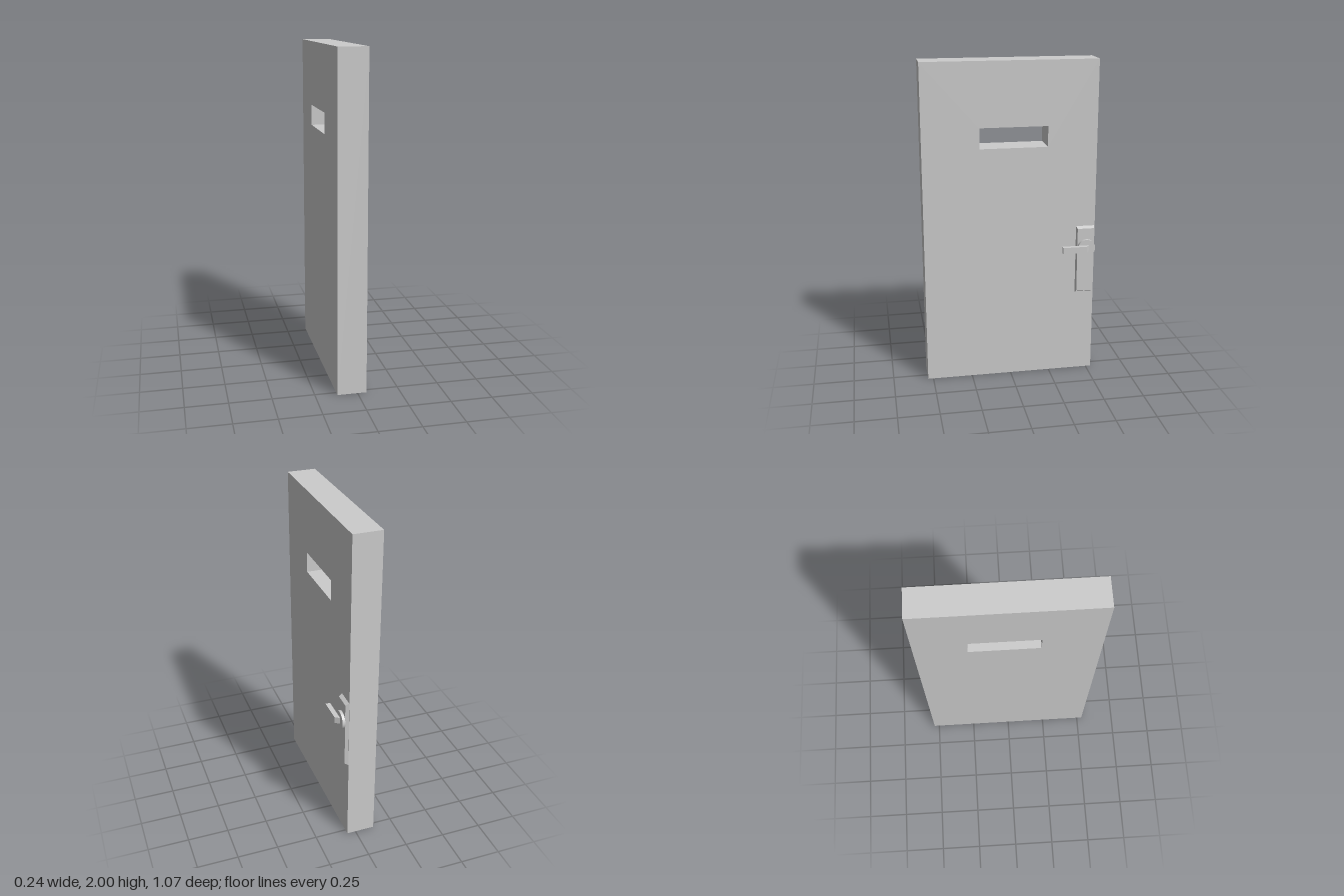
import * as THREE from 'three';

const grey = new THREE.MeshStandardMaterial({ color: 0xcccccc, flatShading: true });
const smoothGrey = new THREE.MeshStandardMaterial({ color: 0xcccccc });

function addPart(group, name, geometry, material = grey) {
  const mesh = new THREE.Mesh(geometry, material);
  mesh.name = name;
  group.add(mesh);
  return mesh;
}

// Rectangle points as [horizontal, vertical] corners
function rectangle(x0, y0, x1, y1) {
  return [[x0, y0], [x1, y0], [x1, y1], [x0, y1]].map(([x, y]) => new THREE.Vector2(x, y));
}

export function createModel() {
  const door = new THREE.Group();
  door.name = 'door';
  const faceX = 0.054;

  // Slab with a viewing slot; drawn in the (-z, y) plane and extruded along x
  const outline = new THREE.Shape(rectangle(-0.533, 0, 0.533, 2));
  outline.holes.push(new THREE.Path(rectangle(-0.187, 1.482, 0.228, 1.608)));
  const slab = new THREE.ExtrudeGeometry(outline, { depth: faceX + 0.121, bevelEnabled: false });
  slab.rotateY(Math.PI / 2).translate(-0.121, 0, 0);
  addPart(door, 'doorSlab', slab);

  const handle = new THREE.Group();
  handle.name = 'handle';
  handle.position.set(faceX, 0.835, -0.475);
  door.add(handle);

  // Back plate with its outer face drawn in to form a bevel
  const plate = new THREE.BoxGeometry(0.022, 0.437, 0.116);
  const p = plate.attributes.position;
  for (let i = 0; i < p.count; i++) {
    if (p.getX(i) > 0) {
      p.setY(i, p.getY(i) * 0.945);
      p.setZ(i, p.getZ(i) * 0.9);
    }
  }
  plate.computeVertexNormals();
  addPart(handle, 'backPlate', plate).position.set(0.011, -0.082, 0.003);

  // Round rose
  const rose = new THREE.CylinderGeometry(0.055, 0.055, 0.017, 32);
  rose.rotateZ(-Math.PI / 2);
  addPart(handle, 'rose', rose, smoothGrey).position.x = 0.0305;

  // Lever with a chamfered pivot end; profile in the (x, z) plane, extruded along y
  const profile = new THREE.Shape([
    [0.039, 0.014], [0.067, -0.006], [0.067, -0.155], [0.039, -0.155],
  ].map(([x, y]) => new THREE.Vector2(x, y)));
  const lever = new THREE.ExtrudeGeometry(profile, { depth: 0.04, bevelEnabled: false });
  lever.rotateX(-Math.PI / 2).translate(0, -0.02, 0);
  addPart(handle, 'lever', lever);

  return door;
}
